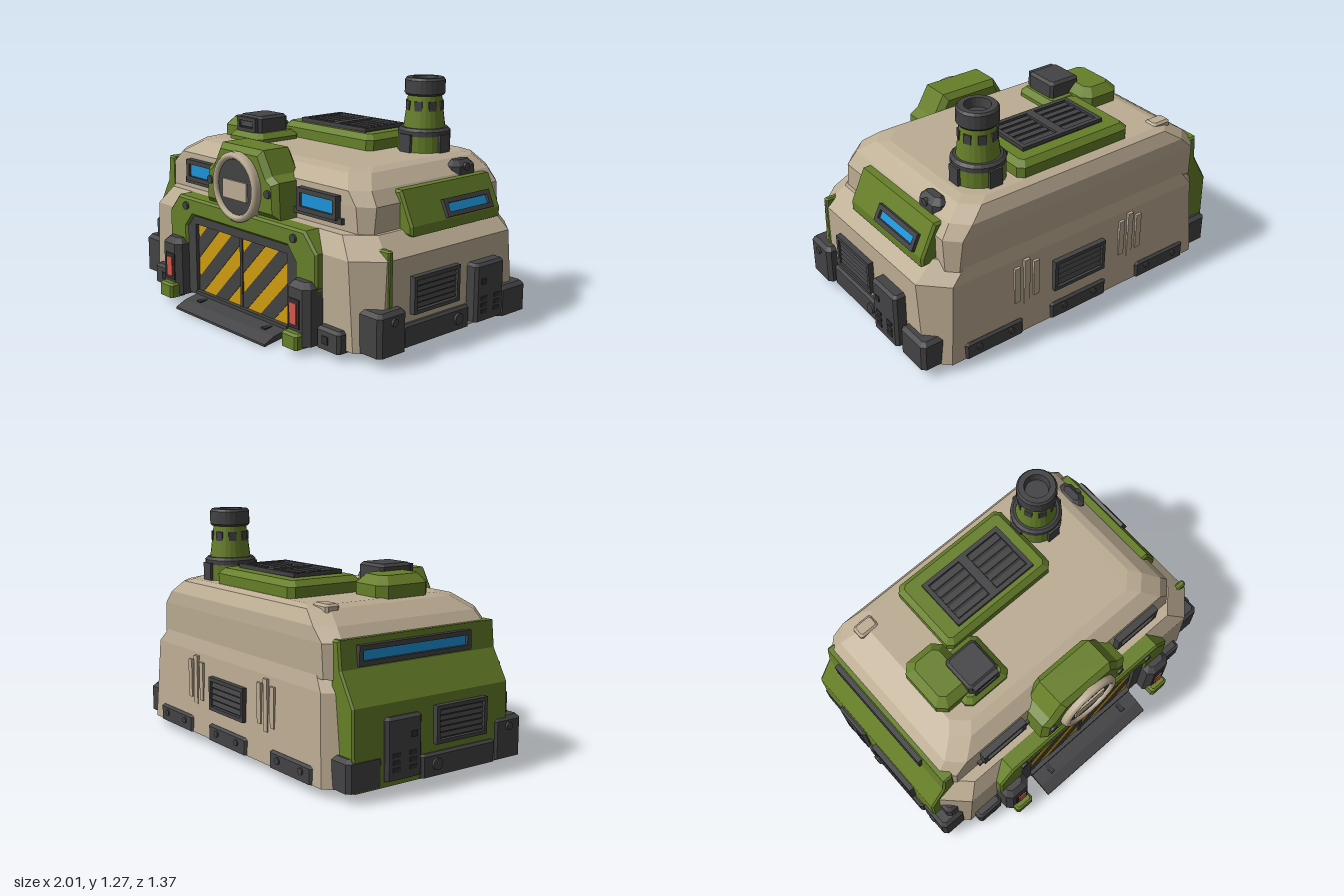
import * as THREE from 'three';

const mat = (name, color) => {
  const m = new THREE.MeshStandardMaterial({ color });
  m.name = name;
  return m;
};

export function createModel() {
  const root = new THREE.Group();
  root.name = 'garrisonBuilding';
  const beige = mat('beige', 0xbcac93), green = mat('green', 0x667f29), dark = mat('darkGrey', 0x434345);
  const black = mat('nearBlack', 0x303032), yellow = mat('yellow', 0xd09c10);
  const blue = mat('blue', 0x1e94da), red = mat('red', 0xd4584c);

  const add = (name, geo, m, parent = root) => {
    const mesh = new THREE.Mesh(geo, m);
    mesh.name = name;
    parent.add(mesh);
    return mesh;
  };

  // Stack of rectangles with cut corners: [y, x0, x1, z0, z1, cut]
  const loft = (rings) => {
    const pts = rings.map(([y, x0, x1, z0, z1, c]) => [
      [x1, z0 + c], [x1, z1 - c], [x1 - c, z1], [x0 + c, z1],
      [x0, z1 - c], [x0, z0 + c], [x0 + c, z0], [x1 - c, z0],
    ].map(([x, z]) => [x, y, z]));
    const pos = [];
    const tri = (...p) => p.forEach((v) => pos.push(...v));
    for (let i = 0; i + 1 < pts.length; i++) for (let j = 0; j < 8; j++) {
      const k = (j + 1) % 8, A = pts[i], B = pts[i + 1];
      tri(A[j], B[j], B[k]);
      tri(A[j], B[k], A[k]);
    }
    const lo = pts[0], hi = pts[pts.length - 1];
    for (let j = 1; j < 7; j++) {
      tri(lo[0], lo[j], lo[j + 1]);
      tri(hi[0], hi[j + 1], hi[j]);
    }
    const g = new THREE.BufferGeometry();
    g.setAttribute('position', new THREE.Float32BufferAttribute(pos, 3));
    g.computeVertexNormals();
    return g;
  };

  // Block with bevelled top and upright edges; x may be given in either order
  const block = (name, m, xa, xb, y0, y1, z0, z1, b = 0.015) => {
    const x0 = Math.min(xa, xb), x1 = Math.max(xa, xb);
    return add(name, loft([
      [y0, x0, x1, z0, z1, b], [y1 - b, x0, x1, z0, z1, b],
      [y1, x0 + b, x1 - b, z0 + b, z1 - b, b * 0.6],
    ]), m);
  };

  const shape = (pts) => new THREE.Shape(pts.map(([x, y]) => new THREE.Vector2(x, y)));
  // Outline in x and y pushed from z0 to z1, with a bevelled rim
  const slab = (name, m, pts, z0, z1, b = 0) => {
    const g = new THREE.ExtrudeGeometry(shape(pts), {
      depth: z1 - z0 - 2 * b, bevelEnabled: b > 0, bevelSize: b, bevelThickness: b, bevelOffset: -b, bevelSegments: 1,
    });
    return add(name, g.translate(0, 0, z0 + b), m);
  };

  // Group on a wall, local +z pointing outward
  const wall = (name, x, y, z, ry, rx = 0) => {
    const g = new THREE.Group();
    g.name = name;
    g.rotation.order = 'YXZ';
    g.rotation.set(rx, ry, 0);
    g.position.set(x, y, z);
    root.add(g);
    return g;
  };
  const box = (name, m, parent, w, h, d, x, y, z) =>
    add(name, new THREE.BoxGeometry(w, h, d).translate(x, y, z), m, parent);
  const bolt = (parent, r, x, y, z, m = dark) =>
    add('bolt', new THREE.CylinderGeometry(r, r, 0.025, 12).rotateX(Math.PI / 2).translate(x, y, z), m, parent);
  const frame = (g, w, h, t, d) => {
    for (const s of [1, -1]) {
      box('frameBar', dark, g, w, t, d, 0, s * (h - t) / 2, 0);
      box('framePost', dark, g, t, h - 2 * t, d, s * (w - t) / 2, 0, 0);
    }
  };
  const windowUnit = (g, w, h) => {
    frame(g, w, h, 0.025, 0.05);
    box('glass', blue, g, w - 0.05, h - 0.05, 0.02, 0, 0, 0);
  };
  const vent = (g, w, h, n) => {
    frame(g, w, h, 0.02, 0.05);
    box('ventBack', black, g, w - 0.04, h - 0.04, 0.01, 0, 0, 0);
    for (let i = 0; i < n; i++) {
      const slat = box('slat', dark, g, w - 0.05, (h - 0.04) / n * 0.75, 0.015, 0, 0, 0);
      slat.position.set(0, (i + 0.5 - n / 2) * (h - 0.05) / n, 0.01);
      slat.rotation.x = -0.3;
    }
  };

  // Main hull
  add('lowerHull', loft([
    [0.05, -0.92, 0.93, -0.67, 0.5, 0.1], [0.5, -0.92, 0.93, -0.65, 0.505, 0.13],
    [0.6, -0.84, 0.82, -0.63, 0.45, 0.12]]), beige);
  add('upperHull', loft([
    [0.56, -0.84, 0.8, -0.635, 0.39, 0.05], [0.73, -0.855, 0.8, -0.64, 0.39, 0.07],
    [0.8, -0.79, 0.75, -0.635, 0.385, 0.08], [0.865, -0.69, 0.67, -0.6, 0.31, 0.08],
    [0.88, -0.64, 0.62, -0.56, 0.25, 0.08]]), beige);

  // Right flank armour with long window
  slab('flankArmour', green, [[-0.8, 0.05], [-0.8, 0.75], [-0.86, 0.75], [-0.875, 0.61],
    [-0.97, 0.45], [-0.975, 0.05]], -0.6, 0.38, 0.01);
  windowUnit(wall('longWindow', -0.865, 0.67, -0.15, -Math.PI / 2), 0.7, 0.1);

  // Left flank window housing
  slab('windowHousing', green, [[0.7, 0.57], [0.88, 0.57], [0.88, 0.62], [0.8, 0.79], [0.7, 0.79]], -0.51, 0.16, 0.012);
  windowUnit(wall('sideWindow', 0.852, 0.665, -0.265, Math.PI / 2, -0.44), 0.35, 0.095);
  block('shoulderBox', dark, 0.66, 0.76, 0.77, 0.865, -0.46, -0.29, 0.03);
  bolt(wall('shoulderBolt', 0.755, 0.83, -0.37, Math.PI / 2), 0.02, 0, 0, 0);
  block('hullTrim', green, 0.85, 0.935, 0.25, 0.55, 0.335, 0.37, 0.008);

  // Parts shared by both flanks
  for (const s of [1, -1]) {
    const ry = s * Math.PI / 2, off = s > 0 ? 0.935 : 0.975;
    vent(wall('flankVent', s * off, 0.305, 0.05, ry), 0.33, 0.19, 5);
    block('servicePanel', dark, s * 0.88, s * 0.995, 0.08, 0.385, -0.42, -0.2);
    const panel = wall('panelDetails', s * 0.995, 0.23, -0.31, ry);
    box('panelButton', black, panel, 0.035, 0.03, 0.01, s * -0.055, 0.06, 0);
    for (const x of [-0.05, 0.05]) for (const y of [-0.1, -0.065, -0.03])
      box('panelSlot', black, panel, 0.045, 0.022, 0.008, x, y, 0);
    block('flankSkirt', dark, s * 0.88, s * (off + 0.02), 0.055, 0.17, -0.2, 0.28, 0.012);
    bolt(wall('skirtBolt', s * (off + 0.02), 0.115, -0.11, ry), 0.03, 0, 0, 0);
    block('rearCornerGuard', dark, s * 0.83, s * 0.975, 0.055, 0.215, -0.63, -0.42, 0.02);
    block('frontCornerGuard', dark, s * 0.83, s * 0.985, 0.055, 0.27, 0.285, 0.475, 0.02);
    bolt(wall('guardBolt', s * 0.985, 0.22, 0.38, ry), 0.02, 0, 0, 0);
    block('frontFoot', dark, s * 0.62, s * 0.785, 0.04, 0.15, 0.45, 0.55, 0.015);
    box('footSocket', black, root, 0.04, 0.04, 0.01, s * 0.69, 0.09, 0.551);

    // Gate legs with warning lights
    block('gateLeg', dark, s * 0.46, s * 0.62, 0.04, 0.36, 0.45, 0.61, 0.03);
    box('lightFrame', black, root, 0.08, 0.15, 0.015, s * 0.53, 0.2, 0.608);
    box('warningLight', red, root, 0.05, 0.11, 0.02, s * 0.53, 0.2, 0.612);
    block('gateToe', green, s * 0.475, s * 0.59, 0.03, 0.11, 0.55, 0.65, 0.012);

    // Front windows
    windowUnit(wall('frontWindow', s * 0.478, 0.71, 0.4, 0), 0.29, 0.12);
    box('windowSill', dark, root, 0.4, 0.03, 0.05, s * 0.45, 0.645, 0.385);
    bolt(root, 0.022, s * 0.455, 0.55, 0.545);
    bolt(root, 0.022, s * 0.24, 0.73, 0.53);
  }
  block('sideTank', dark, -0.92, -0.83, 0.2, 0.39, 0.36, 0.45, 0.02);

  // Gate arch and door frame
  slab('gateArch', green, [[-0.62, 0.3], [-0.46, 0.3], [-0.46, 0.43], [-0.4, 0.5], [0.4, 0.5], [0.46, 0.43],
    [0.46, 0.3], [0.62, 0.3], [0.62, 0.5], [0.53, 0.6], [-0.53, 0.6], [-0.62, 0.5]], 0.42, 0.545, 0.012);
  slab('doorFrame', dark, [[-0.47, 0.05], [-0.39, 0.05], [-0.39, 0.455], [0.39, 0.455], [0.39, 0.05],
    [0.47, 0.05], [0.47, 0.44], [0.41, 0.51], [-0.41, 0.51], [-0.47, 0.44]], 0.45, 0.533);

  // Keeps the part of a polygon where d * (x - y) >= d * limit
  const clip = (poly, d, limit) => poly.flatMap((p, i) => {
    const q = poly[(i + 1) % poly.length];
    const a = d * (p[0] - p[1] - limit), b = d * (q[0] - q[1] - limit);
    const t = a / (a - b), out = a >= 0 ? [p] : [];
    if (a * b < 0) out.push([p[0] + t * (q[0] - p[0]), p[1] + t * (q[1] - p[1])]);
    return out;
  });
  // Striped door leaves
  for (const x of [-0.385, 0.008]) {
    slab('doorLeaf', yellow, [[x, 0.06], [x + 0.377, 0.06], [x + 0.377, 0.45], [x, 0.45]], 0.49, 0.515);
    for (let k = 0; k < 3; k++) {
      const c = -0.31 + 0.22 * k;
      const p = clip(clip([[0, 0], [0.377, 0], [0.377, 0.39], [0, 0.39]], 1, c), -1, c + 0.11);
      slab('doorStripe', dark, p.map(([u, v]) => [u + x, v + 0.06]), 0.514, 0.518);
    }
  }
  box('doorSeam', dark, root, 0.02, 0.4, 0.03, 0, 0.255, 0.508);
  box('doorSill', dark, root, 0.78, 0.03, 0.05, 0, 0.06, 0.515);

  // Ramp
  const ramp = new THREE.ExtrudeGeometry(
    shape([[0.5, 0.03], [0.68, 0], [0.68, 0.012], [0.62, 0.04], [0.5, 0.065]]), { depth: 0.77, bevelEnabled: false });
  add('ramp', ramp.rotateY(-Math.PI / 2).translate(0.385, 0, 0), dark);
  for (const s of [1, -1]) box('rampGroove', black, root, 0.03, 0.008, 0.07, s * 0.28, 0.051, 0.57);

  // Round badge in its housing, left plain
  slab('badgeHousing', green, [[-0.3, 0.6], [0.3, 0.6], [0.29, 0.79], [0.24, 0.82], [0.17, 0.94],
    [-0.17, 0.94], [-0.24, 0.82], [-0.29, 0.79]], 0.31, 0.53, 0.03);
  add('badgeDisc', new THREE.CylinderGeometry(0.17, 0.17, 0.06, 32).rotateX(Math.PI / 2).translate(0, 0.73, 0.52), dark);
  const ring = [[0.15, -0.04], [0.185, -0.04], [0.185, 0.025], [0.172, 0.04], [0.155, 0.04], [0.147, 0.025], [0.15, -0.04]];
  const rim = new THREE.LatheGeometry(ring.map(([r, y]) => new THREE.Vector2(r, y)), 32);
  add('badgeRim', rim.rotateX(Math.PI / 2).translate(0, 0.73, 0.53), beige);
  box('badgePlate', beige, root, 0.2, 0.1, 0.015, 0, 0.715, 0.553);

  // Back wall
  vent(wall('backVent', 0.02, 0.31, -0.658, Math.PI), 0.34, 0.18, 4);
  for (const [x, w] of [[0.57, 0.36], [0.02, 0.38], [-0.57, 0.36]]) {
    block('backSkirt', dark, x - w / 2, x + w / 2, 0.05, 0.14, -0.68, -0.6, 0.012);
    for (const d of [-0.1, 0.1]) bolt(root, 0.018, x + d, 0.1, -0.675);
  }
  for (const x of [0.36, -0.34]) for (let i = -1; i <= 1; i++)
    box('backRib', beige, root, 0.035, 0.27 - 0.06 * Math.abs(i), 0.025, x + i * 0.06, 0.35, -0.654);

  // Roof deck with twin grilles
  block('roofDeck', green, -0.4, 0.32, 0.86, 0.965, -0.55, -0.1, 0.03);
  box('grilleBase', black, root, 0.52, 0.02, 0.3, -0.03, 0.963, -0.305);
  const grille = wall('roofGrille', -0.03, 0.972, -0.305, 0, -Math.PI / 2);
  frame(grille, 0.52, 0.3, 0.025, 0.03);
  box('grilleDivider', dark, grille, 0.05, 0.26, 0.03, 0, 0, 0);
  for (const x of [-0.13, 0.13]) for (let i = 0; i < 5; i++)
    box('grilleSlat', dark, grille, 0.2, 0.034, 0.014, x, (i - 2) * 0.05, 0);

  // Roof machinery
  block('machineBase', green, -0.66, -0.41, 0.86, 0.985, -0.19, 0.14, 0.045);
  block('machineStep', green, -0.53, -0.24, 0.86, 0.93, -0.1, 0.2, 0.03);
  block('machineBox', dark, -0.48, -0.285, 0.9, 1.02, -0.045, 0.16, 0.015);
  vent(wall('machineVent', -0.383, 0.97, 0.155, 0), 0.16, 0.08, 3);
  block('roofHatch', beige, -0.7, -0.58, 0.85, 0.89, -0.55, -0.47, 0.012);

  // Watch tower
  const tower = new THREE.Group();
  tower.name = 'watchTower';
  tower.position.set(0.45, 0, -0.38);
  root.add(tower);
  const turn = (name, m, pts) =>
    add(name, new THREE.LatheGeometry(pts.map(([r, y]) => new THREE.Vector2(r, y)), 24).toNonIndexed(), m, tower)
      .geometry.computeVertexNormals();
  turn('towerBase', green, [[0.14, 0.84], [0.14, 0.965], [0, 0.965]]);
  turn('towerCollar', dark, [[0.12, 0.96], [0.14, 0.965], [0.14, 0.99], [0.125, 1.005], [0, 1.005]]);
  turn('towerShaft', green, [[0.112, 1.0], [0.088, 1.19]]);
  turn('towerCap', dark, [[0.08, 1.175], [0.1, 1.175], [0.108, 1.185], [0.108, 1.255], [0.098, 1.268],
    [0.068, 1.268], [0.062, 1.22], [0, 1.22]]);
  for (let i = 0; i < 8; i++) {
    const slot = box('towerSlot', dark, tower, 0.042, 0.05, 0.02, 0, 1.12, 0.09);
    slot.rotation.y = (i + 0.5) * Math.PI / 4;
  }
  for (let i = 0; i < 4; i++) {
    const brace = box('towerBrace', dark, tower, 0.075, 0.11, 0.03, 0, 0.92, 0.135);
    brace.rotation.y = i * Math.PI / 2;
  }
  return root;
}
